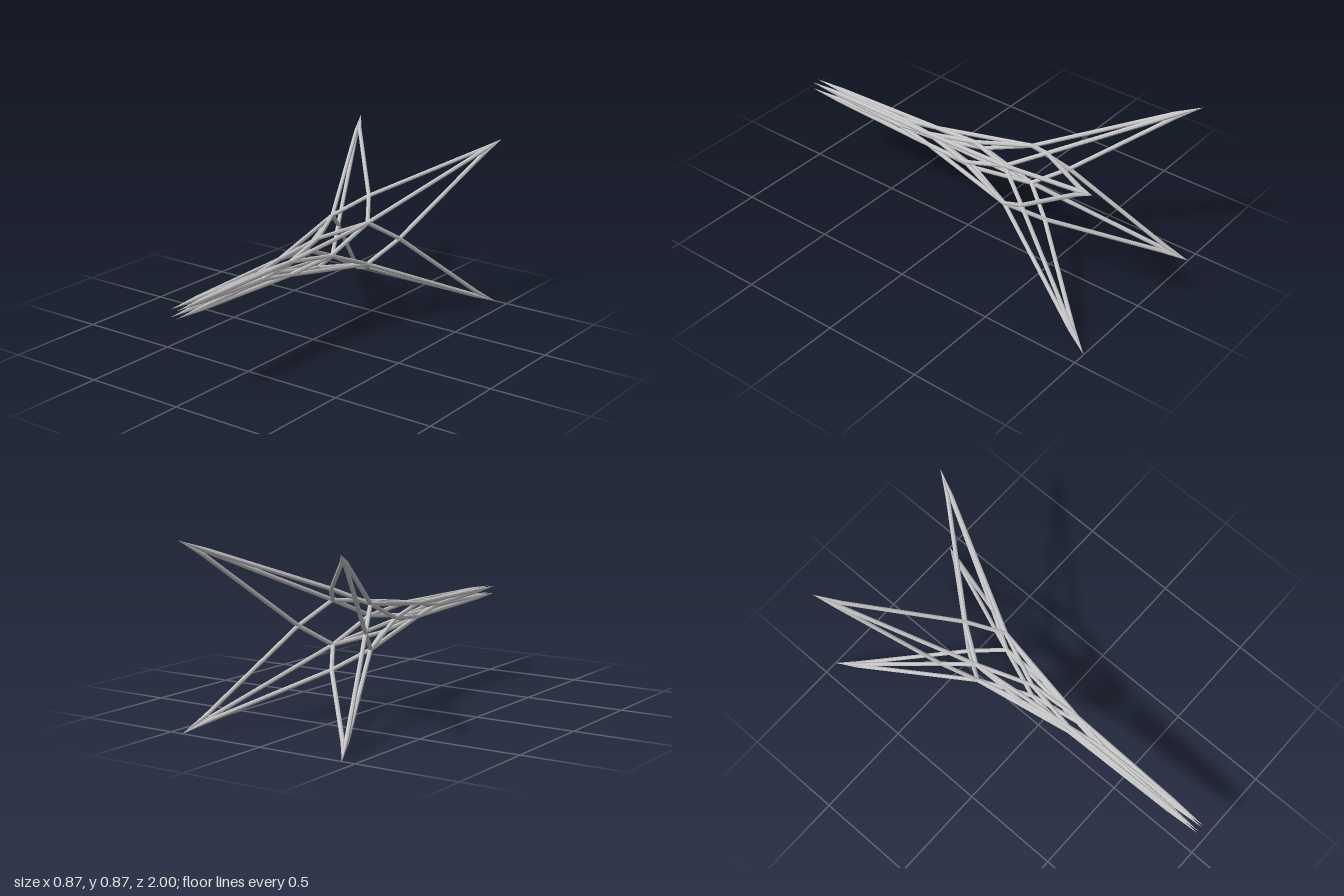
import * as THREE from 'three';

const R = 0.0105, SIDES = 8, CY = 0.434;

// straight rod; with a spike point, its far end is drawn out to that point
function rodGeometry(a, b, spike, spikeLength) {
  const dir = b.clone().sub(a).normalize();
  const u = new THREE.Vector3(0, 1, 0).cross(dir).normalize();
  const v = dir.clone().cross(u);
  const end = spike ? b.clone().addScaledVector(dir, -spikeLength) : b;
  const ring = (c, i) => {
    const t = (i / SIDES) * Math.PI * 2;
    return c.clone().addScaledVector(u, R * Math.cos(t)).addScaledVector(v, R * Math.sin(t));
  };
  const pos = [];
  const tri = (...pts) => pts.forEach((p) => pos.push(p.x, p.y, p.z));
  for (let i = 0; i < SIDES; i++) {
    const a0 = ring(a, i), a1 = ring(a, i + 1), b0 = ring(end, i), b1 = ring(end, i + 1);
    tri(a0, a1, b1);
    tri(a0, b1, b0);
    tri(a, a1, a0);
    tri(spike || end, b0, b1);
  }
  const g = new THREE.BufferGeometry();
  g.setAttribute('position', new THREE.Float32BufferAttribute(pos, 3));
  g.computeVertexNormals();
  return g;
}

export function createModel() {
  const model = new THREE.Group();
  const grey = new THREE.MeshStandardMaterial({ color: 0xc4c4c4 });
  grey.name = 'light grey metal';

  // node on a corner line or on a side line, for quarter k
  const corner = (k, s, z) => {
    const t = Math.PI / 4 + (k * Math.PI) / 2;
    return new THREE.Vector3(s * Math.SQRT2 * Math.cos(t), CY + s * Math.SQRT2 * Math.sin(t), z);
  };
  const side = (k, r, z) => {
    const t = (k * Math.PI) / 2;
    return new THREE.Vector3(r * Math.cos(t), CY + r * Math.sin(t), z);
  };
  const add = (name, a, b, spike, len) => {
    const mesh = new THREE.Mesh(rodGeometry(a, b, spike, len), grey);
    mesh.name = name;
    model.add(mesh);
  };

  for (let k = 0; k < 4; k++) {
    const backTip = corner(k, 0.433, -1), backApex = corner(k, 0.408, -0.945);
    const frontTip = corner(k, 0.018, 1), frontApex = corner(k, 0.0175, 0.92);
    const rear = corner(k, 0.106, -0.3), fore = corner(k, 0.032, 0.22);

    // long corner rods
    add('backLegRod', rear, backApex, backTip, 0.07);
    add('middleRod', rear, fore);
    add('frontProngRod', fore, frontApex, frontTip, 0.1);

    // lattice through the two neighbouring side nodes
    for (const j of [k, k + 1]) {
      const rearSide = side(j, 0.187, -0.46);
      const midSide = side(j, 0.074, -0.04);
      const foreSide = side(j, 0.023, 0.42);
      add('backLegBrace', rearSide, backApex, backTip, 0.07);
      add('rearBrace', rearSide, rear);
      add('middleRearBrace', rear, midSide);
      add('middleFrontBrace', midSide, fore);
      add('frontBrace', fore, foreSide);
      add('frontProngBrace', foreSide, frontApex, frontTip, 0.1);
    }
  }
  return model;
}
